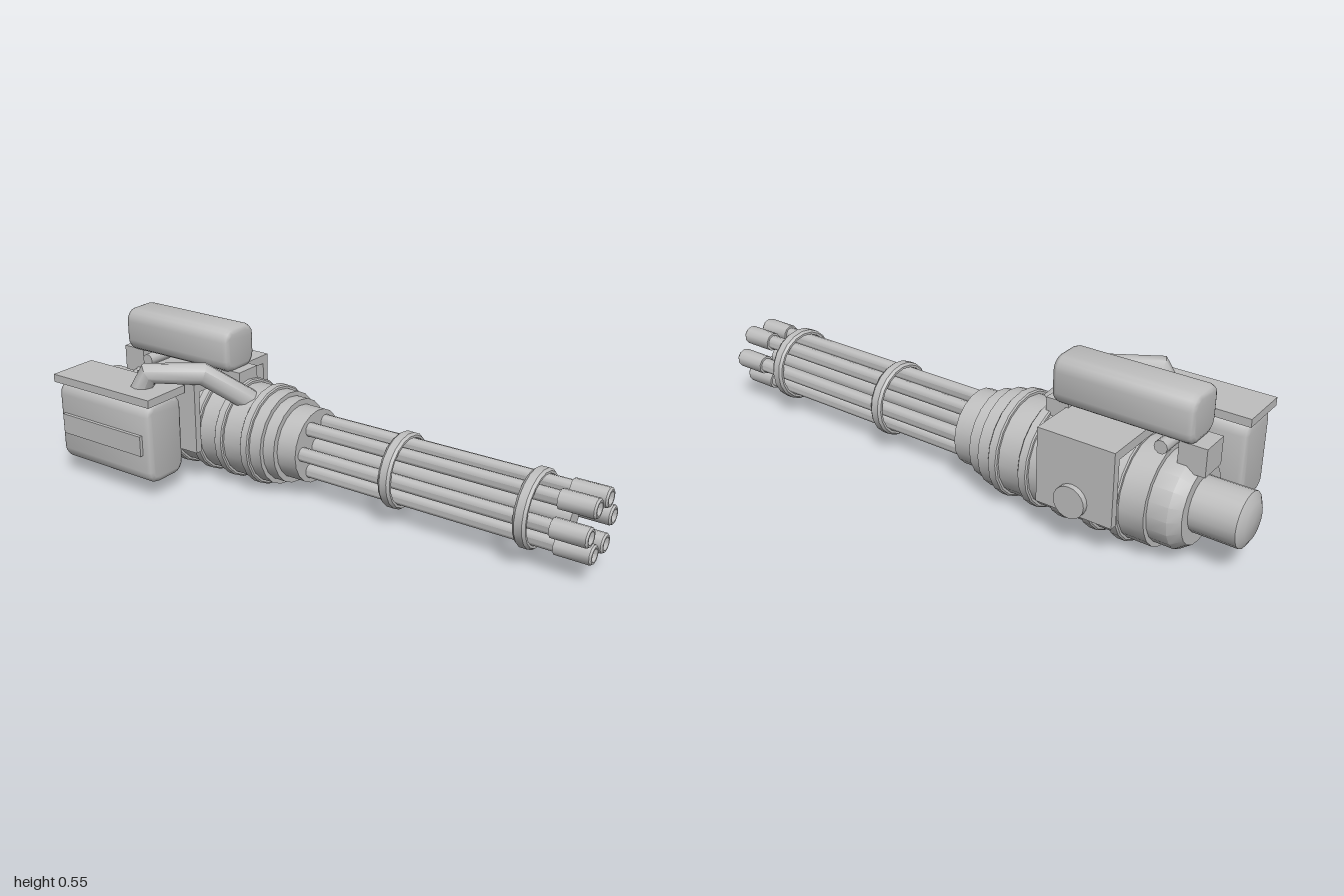
import * as THREE from 'three';
import { toCreasedNormals } from 'three/addons/utils/BufferGeometryUtils.js';

const AX = 0.088, AY = 0.179; // spin axis of the barrels and body

export function createModel() {
  const root = new THREE.Group();
  root.name = 'rotaryGun';
  const grey = new THREE.MeshStandardMaterial({ color: 0xbfbfbf });
  grey.name = 'plain grey';

  const add = (name, geo, x = 0, y = 0, z = 0, parent = root) => {
    const mesh = new THREE.Mesh(geo, grey);
    mesh.name = name;
    mesh.position.set(x, y, z);
    parent.add(mesh);
    return mesh;
  };
  // Turned part along z; profile is [z, radius] from back to front
  const turned = (profile, sides) => {
    const pts = profile.map(([z, r]) => new THREE.Vector2(r, z));
    return toCreasedNormals(new THREE.LatheGeometry(pts, sides).rotateX(Math.PI / 2), 0.65);
  };
  // Box given by its limits
  const box = (name, x0, x1, y0, y1, z0, z1) =>
    add(name, new THREE.BoxGeometry(x1 - x0, y1 - y0, z1 - z0), (x0 + x1) / 2, (y0 + y1) / 2, (z0 + z1) / 2);
  // Cylinder along x
  const rod = (name, x0, x1, y, z, r, sides) =>
    add(name, new THREE.CylinderGeometry(r, r, x1 - x0, sides).rotateZ(Math.PI / 2), (x0 + x1) / 2, y, z);
  // Case with rounded long edges and chamfered ends
  const softCase = (name, x0, x1, y0, y1, z0, z1) => {
    const w = (x1 - x0) / 2, h = (y1 - y0) / 2, r = 0.045, b = 0.018;
    const s = new THREE.Shape();
    s.moveTo(-w + r, -h);
    s.lineTo(w - r, -h);
    s.absarc(w - r, -h + r, r, -Math.PI / 2, 0);
    s.absarc(w - r, h - r, r, 0, Math.PI / 2);
    s.absarc(-w + r, h - r, r, Math.PI / 2, Math.PI);
    s.absarc(-w + r, -h + r, r, Math.PI, Math.PI * 1.5);
    const geo = new THREE.ExtrudeGeometry(s, {
      depth: z1 - z0 - 2 * b, curveSegments: 2, bevelEnabled: true,
      bevelSegments: 2, bevelSize: b, bevelThickness: b, bevelOffset: -b,
    });
    return add(name, toCreasedNormals(geo, 0.85), (x0 + x1) / 2, (y0 + y1) / 2, z0 + b);
  };

  // Ribbed body: tapered rear, five raised flanges, stepped front
  const profile = [[-0.835, 0], [-0.835, 0.125], [-0.8, 0.15], [-0.735, 0.15], [-0.735, 0.166]];
  for (const z of [-0.635, -0.538, -0.425, -0.32, -0.208])
    profile.push([z - 0.017, 0.166], [z - 0.017, 0.174], [z - 0.013, 0.179],
      [z + 0.013, 0.179], [z + 0.017, 0.174], [z + 0.017, 0.166]);
  profile.push([-0.145, 0.166], [-0.145, 0.15], [-0.1, 0.15], [-0.1, 0.13], [-0.025, 0.13], [-0.025, 0]);
  add('body', turned(profile, 20), AX, AY);
  add('rearMotor', turned([[-1, 0], [-0.997, 0.06], [-0.982, 0.088], [-0.82, 0.088]], 20), AX, AY + 0.004);

  // Six barrels with hollow muzzles around a central shaft
  const barrels = new THREE.Group();
  barrels.name = 'barrelCluster';
  barrels.position.set(AX, AY, 0);
  root.add(barrels);
  const barrelGeo = turned([[-0.03, 0.025], [0.88, 0.025], [0.88, 0.033], [0.994, 0.033],
    [1, 0.028], [1, 0.022], [0.9, 0.02], [0.9, 0]], 10);
  for (let i = 0; i < 6; i++) {
    const a = i * Math.PI / 3;
    add('barrel', barrelGeo, 0.088 * Math.cos(a), 0.088 * Math.sin(a), 0, barrels);
  }
  add('centralShaft', turned([[-0.03, 0.034], [0.91, 0.034], [0.91, 0]], 10), 0, 0, 0, barrels);
  const clampGeo = turned([[-0.022, 0.115], [-0.022, 0.123], [-0.013, 0.13], [0.013, 0.13],
    [0.022, 0.123], [0.022, 0.115], [-0.022, 0.115]], 20);
  for (const z of [0.317, 0.787]) add('barrelClamp', clampGeo, 0, 0, z, barrels);

  // Open saddle bracket over the body, with its cross pivot
  box('bracketTop', -0.118, 0.292, 0.35, 0.381, -0.655, -0.392);
  box('bracketLeftSide', 0.266, 0.292, 0.13, 0.381, -0.655, -0.392);
  box('bracketRightSide', -0.118, -0.092, 0.13, 0.381, -0.655, -0.392);
  rod('crossPivot', -0.137, 0.311, AY, -0.518, 0.053, 20);

  // Upper case on two feet with a cross pin
  softCase('upperCase', 0.008, 0.165, 0.388, 0.546, -0.82, -0.352);
  box('frontFoot', 0.038, 0.138, 0.32, 0.395, -0.4, -0.32);
  box('rearFoot', 0.038, 0.138, 0.3, 0.392, -0.86, -0.77);
  rod('crossPin', 0.013, 0.163, 0.367, -0.727, 0.022, 10);

  // Side magazine with lid and outer plate
  softCase('magazine', -0.302, -0.133, 0.06, 0.352, -0.86, -0.44);
  box('magazineLid', -0.308, -0.127, 0.35, 0.378, -0.872, -0.428);
  box('magazinePlate', -0.314, -0.295, 0.168, 0.24, -0.835, -0.47);

  // Feed chute: faceted elbow pipe, one ring at each bend
  const path = [[-0.215, 0.36, -0.545], [-0.2, 0.424, -0.52], [-0.1, 0.424, -0.365], [0.03, 0.31, -0.27]]
    .map((p) => new THREE.Vector3(...p));
  const curve = new THREE.Curve();
  curve.getPointAt = (u) => path[Math.round(u * 3)].clone();
  curve.getTangentAt = (u) => {
    const i = Math.round(u * 3), t = new THREE.Vector3();
    if (i > 0) t.add(path[i].clone().sub(path[i - 1]).normalize());
    if (i < 3) t.add(path[i + 1].clone().sub(path[i]).normalize());
    return t.normalize();
  };
  add('feedChute', toCreasedNormals(new THREE.TubeGeometry(curve, 3, 0.04, 8), 0.85));

  return root;
}
